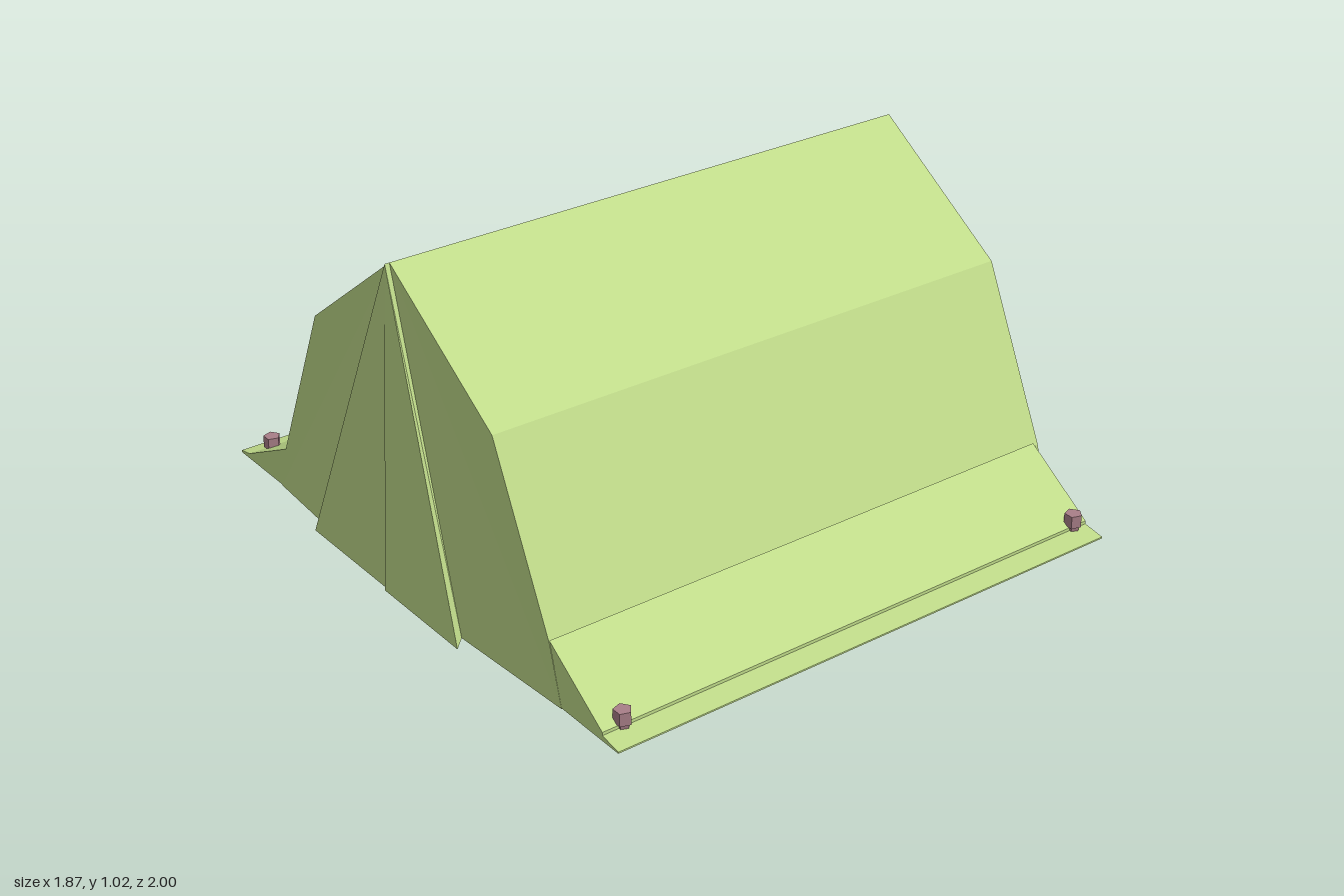
import * as THREE from 'three';

const fabric = new THREE.MeshStandardMaterial({ color: 0xc0db8a, flatShading: true, side: THREE.DoubleSide });
const pegPaint = new THREE.MeshStandardMaterial({ color: 0xa97f88, flatShading: true });

// tent outline as [z, y], from the front foot over the ridge to the back foot
const outline = [[0.745, 0], [0.695, 0.18], [0.45, 0.7], [-0.03, 1.02], [-0.465, 0.69], [-0.705, 0.145], [-0.745, 0]];
const X0 = -0.87, X1 = 0.93;

// flat convex cloth panel, fanned from its first corner
function panel(name, corners) {
  const pos = [];
  for (let i = 1; i < corners.length - 1; i++) pos.push(...corners[0], ...corners[i], ...corners[i + 1]);
  const g = new THREE.BufferGeometry();
  g.setAttribute('position', new THREE.Float32BufferAttribute(pos, 3));
  g.computeVertexNormals();
  const m = new THREE.Mesh(g, fabric);
  m.name = name;
  return m;
}

// closed wedge extruded along x from a [z, y] section
function skirt(name, section) {
  const shape = new THREE.Shape(section.map(([z, y]) => new THREE.Vector2(-z, y)));
  const g = new THREE.ExtrudeGeometry(shape, { depth: 0.91 - X0, bevelEnabled: false });
  g.rotateY(Math.PI / 2).translate(X0, 0, 0);
  const m = new THREE.Mesh(g, fabric);
  m.name = name;
  return m;
}

function peg(x, z) {
  const p = new THREE.Group();
  p.name = 'peg';
  const head = new THREE.Mesh(new THREE.CylinderGeometry(0.027, 0.027, 0.04, 5), pegPaint);
  head.name = 'pegHead';
  head.position.y = 0.052;
  const shaft = new THREE.Mesh(new THREE.CylinderGeometry(0.022, 0.016, 0.032, 5), pegPaint);
  shaft.name = 'pegShaft';
  shaft.position.y = 0.017;
  p.add(head, shaft);
  p.position.set(x, 0, z);
  p.rotation.y = Math.PI / 2;
  return p;
}

export function createModel() {
  const tent = new THREE.Group();
  tent.name = 'tent';

  // walls and roof
  const canopy = new THREE.Group();
  canopy.name = 'canopy';
  for (let i = 0; i < outline.length - 1; i++) {
    const [z0, y0] = outline[i], [z1, y1] = outline[i + 1];
    canopy.add(panel(y0 > 0.5 && y1 > 0.5 ? 'roofPanel' : 'wallPanel',
      [[X0, y0, z0], [X1, y0, z0], [X1, y1, z1], [X0, y1, z1]]));
  }
  tent.add(canopy);

  // closed end and raised floor
  tent.add(panel('endPanel', outline.map(([z, y]) => [X1, y, z]).reverse()));
  tent.add(panel('floor', [[X0, 0.04, 0.73], [X0, 0.04, -0.73], [X1, 0.04, -0.73], [X1, 0.04, 0.73]]));

  // entrance end: side panels bulging out towards the doors
  const apex = [X0, 1.02, -0.03];
  const tie = [-0.885, 1.02, -0.03];
  const edge = { front: [-0.895, 0, 0.3], back: [-0.89, 0, -0.4] };
  const hem = { front: [-0.935, 0, 0.34], back: [-0.925, 0, -0.45] };
  for (const side of ['front', 'back']) {
    const half = (side === 'front' ? outline.slice(0, 3) : outline.slice(4).reverse()).map(([z, y]) => [X0, y, z]);
    tent.add(panel(side + 'EntrancePanel', [apex, edge[side], ...half]));

    // overlapping door flap, with its outer edge closed against the panel
    const middle = [hem[side][0], 0, -0.04];
    tent.add(panel(side + 'Door', [tie, hem[side], middle]));
    tent.add(panel(side + 'DoorSeam', [tie, apex, edge[side], hem[side]]));
  }

  // ground skirts
  tent.add(skirt('frontSkirt', [[1, 0.003], [0.745, 0.003], [0.695, 0.19], [0.93, 0.03], [0.93, 0.02], [1, 0.008]]));
  tent.add(skirt('backSkirt', [[-0.74, 0.003], [-1, 0.003], [-1, 0.01], [-0.95, 0.02], [-0.705, 0.145]]));

  // pegs
  for (const [x, z] of [[-0.8, 0.925], [0.86, 0.925], [-0.8, -0.925], [0.845, -0.925]]) tent.add(peg(x, z));
  return tent;
}
